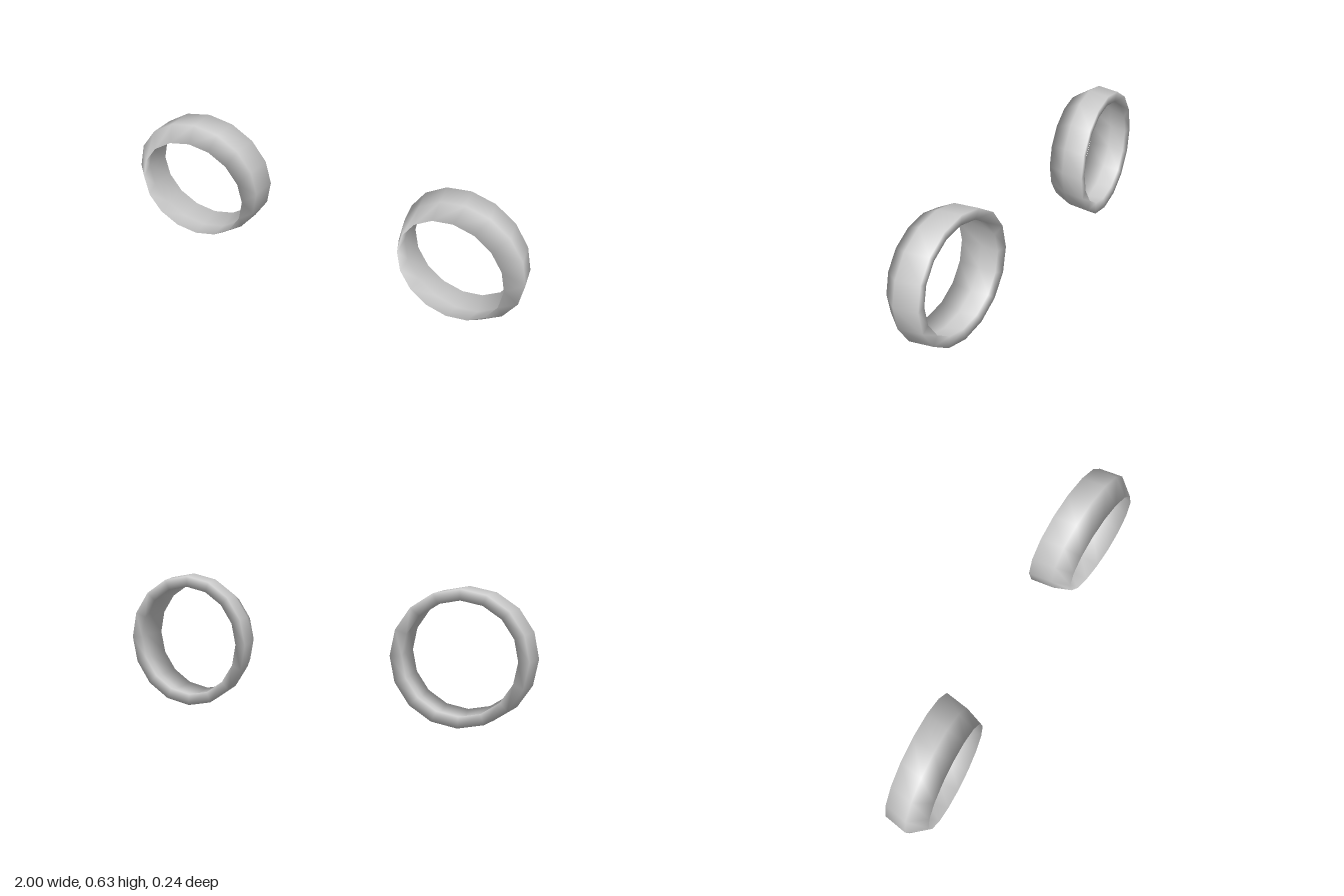
import * as THREE from 'three';

const SEGMENTS = 16;

// Closed cross-section of the rim: [radius, z, sideways shift of that loop]
const PROFILE = [
  [0.313, -0.1, -0.011],  // back outer edge
  [0.314, 0.012, 0.014],  // widest line
  [0.264, 0.097, 0],      // thin front lip
  [0.282, 0.0, 0.006],    // inner channel
  [0.261, -0.093, -0.009] // back inner lip
];

// Sweeps the profile round the ring axis, sharing vertices for smooth normals
function rimGeometry(side) {
  const positions = [];
  const index = [];
  const n = PROFILE.length;
  for (let i = 0; i < SEGMENTS; i++) {
    const a = (i / SEGMENTS) * Math.PI * 2;
    for (const [r, z, shift] of PROFILE) {
      positions.push(r * Math.cos(a) + side * shift, r * Math.sin(a), z);
    }
    for (let j = 0; j < n; j++) {
      const i2 = (i + 1) % SEGMENTS;
      const j2 = (j + 1) % n;
      const p = i * n + j, q = i2 * n + j, s = i2 * n + j2, t = i * n + j2;
      index.push(p, q, s, p, s, t);
    }
  }
  const geometry = new THREE.BufferGeometry();
  geometry.setAttribute('position', new THREE.Float32BufferAttribute(positions, 3));
  geometry.setIndex(index);
  geometry.computeVertexNormals();
  return geometry;
}

export function createModel() {
  const model = new THREE.Group();
  model.name = 'rimPair';
  const material = new THREE.MeshStandardMaterial({ color: 0xcccccc });

  // Mirrored pair, each turned slightly towards the middle
  for (const side of [1, -1]) {
    const rim = new THREE.Mesh(rimGeometry(side), material);
    rim.name = side > 0 ? 'leftRim' : 'rightRim';
    rim.position.set(side * 0.674, 0.315, 0);
    rim.rotation.y = -0.07 * side;
    model.add(rim);
  }
  return model;
}
